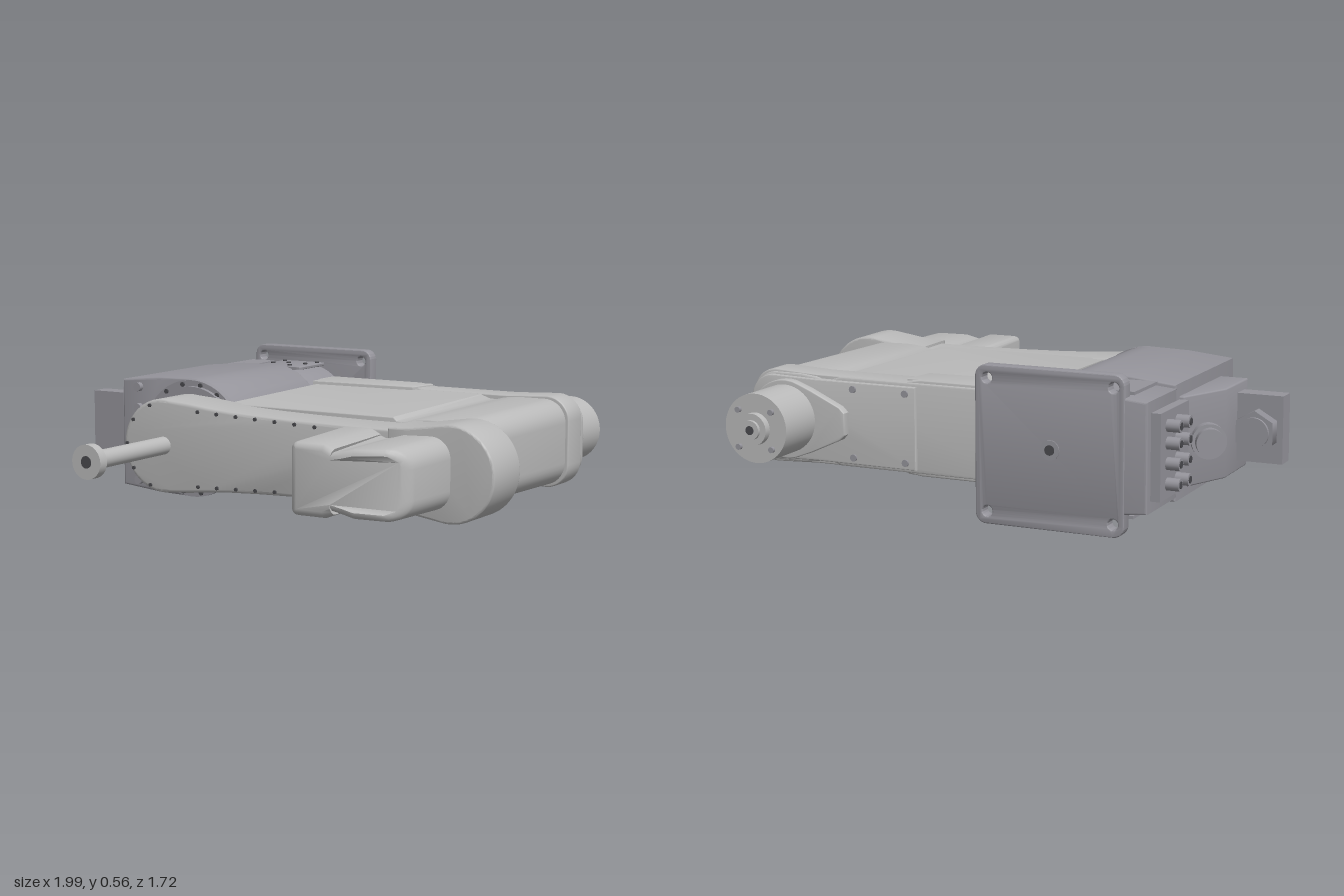
import * as THREE from 'three';
import { toCreasedNormals } from 'three/addons/utils/BufferGeometryUtils.js';

const CY = 0.28; // height of the shared centre line
const rad = Math.PI / 180;

export function createModel() {
  const model = new THREE.Group();
  const make = (name, color) => new THREE.MeshStandardMaterial({ name, color });
  const light = make('light grey', 0xbababa);
  const dark = make('base grey', 0x95949b);
  const black = make('hole grey', 0x4a4a4e);

  const add = (name, geo, mat) => {
    const mesh = new THREE.Mesh(geo, mat);
    mesh.name = name;
    model.add(mesh);
    return mesh;
  };
  // prism along z with rounded rims that keep the outline size
  const prism = (shape, z0, z1, b = 0.008) => {
    const g = new THREE.ExtrudeGeometry(shape, {
      depth: z1 - z0 - 2 * b, bevelEnabled: b > 0, bevelThickness: b, bevelSize: b,
      bevelOffset: -b, bevelSegments: 3, curveSegments: 32,
    });
    g.translate(0, 0, z0 + b);
    return toCreasedNormals(g, 0.6);
  };
  const box = (name, x0, x1, y0, y1, z0, z1, mat) => {
    const g = new THREE.BoxGeometry(x1 - x0, y1 - y0, z1 - z0);
    g.translate((x0 + x1) / 2, (y0 + y1) / 2, (z0 + z1) / 2);
    return add(name, g, mat);
  };
  const zCyl = (name, x, y, r, z0, z1, mat, n = 40) => {
    const g = new THREE.CylinderGeometry(r, r, z1 - z0, n).rotateX(Math.PI / 2);
    return add(name, g.translate(x, y, (z0 + z1) / 2), mat);
  };
  // [x, half height] points around a circle on the centre line
  const arc = (cx, r, a0, a1, n = 14) => Array.from({ length: n + 1 }, (_, i) => {
    const a = (a0 + (a1 - a0) * i / n) * rad;
    return [cx + r * Math.cos(a), r * Math.sin(a)];
  });
  // rounded upper right corner
  const corner = (x, h, r) => arc(x - r, r, 90, 0, 8).map(([px, py]) => [px, py + h - r]);
  // closed outline mirrored about the centre line
  const mirrored = (pts) => {
    const low = pts.filter((p) => p[1] > 1e-4).map(([x, h]) => [x, -h]);
    return new THREE.Shape([...low, ...pts.slice().reverse()].map(([x, h]) => new THREE.Vector2(x, CY + h)));
  };
  const roundRect = (x0, x1, y0, y1, r) => {
    const s = new THREE.Shape();
    s.absarc(x1 - r, y1 - r, r, 0, Math.PI / 2);
    s.absarc(x0 + r, y1 - r, r, Math.PI / 2, Math.PI);
    s.absarc(x0 + r, y0 + r, r, Math.PI, Math.PI * 1.5);
    s.absarc(x1 - r, y0 + r, r, Math.PI * 1.5, Math.PI * 2);
    return s;
  };

  // ---- base: mounting plate with corner holes
  const plate = roundRect(-0.65, -0.1, 0, 0.555, 0.04);
  const corners = [-0.61, -0.145].flatMap((x) => [0.045, 0.51].map((y) => [x, y]));
  for (const [x, y] of corners) {
    const hole = new THREE.Path();
    hole.absarc(x, y, 0.019, 0, Math.PI * 2, true);
    plate.holes.push(hole);
  }
  add('mountingPlate', prism(plate, -0.7, -0.652, 0.004), dark);
  zCyl('plateBoss', -0.38, CY, 0.035, -0.704, -0.69, dark);
  zCyl('plateBossHole', -0.38, CY, 0.018, -0.706, -0.703, black);

  // ---- base: D-shaped housing, slimmer at the rear
  const dShape = (k) => mirrored([[-0.73, 0.205 * k], [-0.56, 0.222 * k],
    ...arc(-0.415, 0.226, 90, 0, 18).map(([x, h]) => [x, h * k])]);
  add('baseHousing', prism(dShape(1), -0.43, 0.165), dark);
  add('baseRear', prism(dShape(0.93), -0.698, -0.42), dark);
  zCyl('bearingRing', -0.385, CY, 0.2, 0.16, 0.2, dark, 64);
  zCyl('bearingFlange', -0.395, CY, 0.222, 0.155, 0.182, dark, 64);
  for (let i = 0; i < 16; i++) {
    const a = (i + 0.5) * 22.5 * rad;
    zCyl('ringScrew', -0.395 + 0.208 * Math.cos(a), CY + 0.208 * Math.sin(a), 0.009, 0.18, 0.188, black, 8);
  }
  for (const y of [0.1, 0.18, 0.28, 0.38, 0.46]) zCyl('baseScrew', -0.65, y, 0.017, 0.16, 0.185, dark, 12);

  // access covers on both broad sides of the base
  for (const s of [1, -1]) {
    const y = CY + s * 0.212;
    const cover = prism(roundRect(-0.5, -0.3, 0.44, 0.635, 0.02), 0, 0.012, 0.003);
    cover.rotateX(-Math.PI / 2).translate(0, y - 0.006, 0);
    add('accessCover', cover, dark);
    for (const [x, z] of [[-0.475, -0.6], [-0.475, -0.51], [-0.42, -0.54], [-0.37, -0.47], [-0.34, -0.54], [-0.325, -0.605]]) {
      const g = new THREE.CylinderGeometry(0.009, 0.009, 0.022, 10);
      add('coverScrew', g.translate(x, y, z), black);
    }
    box('sidePanel', -0.66, -0.55, y - 0.012, y - 0.001, -0.64, -0.42, dark);
  }

  // ---- connector side
  const bracket = new THREE.Shape([[-0.72, -0.03], [-0.72, 0.4], [-0.745, 0.4], [-0.83, 0.2], [-0.83, -0.03]]
    .map((p) => new THREE.Vector2(...p)));
  add('connectorBracket', prism(bracket, 0.12, 0.44, 0.006).rotateX(-Math.PI / 2), dark);
  box('cableBox', -1, -0.82, 0.16, 0.405, -0.08, -0.005, dark);
  zCyl('glandCollar', -0.915, CY, 0.062, -0.1, -0.075, dark);
  zCyl('glandNut', -0.915, CY, 0.078, -0.145, -0.095, dark, 6);
  zCyl('glandCap', -0.915, CY, 0.055, -0.157, -0.14, dark);
  box('connectorPanel', -0.765, -0.72, 0.13, 0.43, -0.665, -0.4, dark);
  for (const y of [0.18, 0.25, 0.32, 0.38]) for (const z of [-0.6, -0.51]) {
    const g = new THREE.CylinderGeometry(0.022, 0.022, 0.05, 16).rotateZ(Math.PI / 2);
    add('socket', g.translate(-0.788, y, z), dark);
    const h = new THREE.CylinderGeometry(0.013, 0.013, 0.004, 16).rotateZ(Math.PI / 2);
    add('socketHole', h.translate(-0.8135, y, z), black);
  }
  const plug = new THREE.Group();
  plug.name = 'angledPlug';
  for (const [r, len, at] of [[0.05, 0.1, 0], [0.062, 0.035, 0.06], [0.05, 0.03, 0.09]]) {
    const m = new THREE.Mesh(new THREE.CylinderGeometry(r, r, len, 32), dark);
    m.name = 'plugRing';
    m.position.y = at;
    plug.add(m);
  }
  plug.position.set(-0.785, CY, -0.285);
  plug.quaternion.setFromUnitVectors(new THREE.Vector3(0, 1, 0), new THREE.Vector3(-0.5, 0, -0.86).normalize());
  model.add(plug);

  // ---- front link with round shoulder
  const link = mirrored([...arc(-0.38, 0.174, 180, 80, 24), [-0.27, 0.166], [-0.18, 0.156],
    [-0.08, 0.148], [0.05, 0.142], [0.2, 0.138], [0.4, 0.135], [0.66, 0.135]]);
  add('frontLink', prism(link, 0.195, 0.395, 0.012), light);
  for (let i = 0; i < 7; i++) for (const s of [1, -1]) {
    zCyl('linkScrew', -0.22 + i * 0.083, CY + s * (0.138 - i * 0.003), 0.007, 0.39, 0.401, black, 8);
  }
  for (let i = 0; i < 5; i++) {
    const a = (110 + i * 35) * rad;
    zCyl('linkScrew', -0.38 + 0.158 * Math.cos(a), CY + 0.158 * Math.sin(a), 0.007, 0.39, 0.401, black, 8);
  }

  // ---- elbow drum
  const elbow = mirrored([[0.58, 0.145], [0.66, 0.148], [0.74, 0.16], ...arc(0.82, 0.17, 100, 0, 24)]);
  add('elbowDrum', prism(elbow, 0.215, 0.415, 0.008), light);
  for (const s of [1, -1]) zCyl('elbowBolt', 0.925, CY + s * 0.06, 0.016, 0.195, 0.22, light, 12);

  // ---- broad arm housing with a shallow groove along it
  const slab = prism(mirrored([[-0.2, 0.158], [0.5, 0.158], [0.54, 0.145], [0.57, 0.143], [0.6, 0.152],
    [0.66, 0.158], ...corner(0.855, 0.158, 0.085)]), -0.575, 0.23, 0.006);
  const nose = prism(mirrored([...corner(0.395, 0.134, 0.025).map(([x, h]) => [0.765 - x, h]).reverse(),
    [0.5, 0.134], [0.535, 0.118], [0.57, 0.106], [0.61, 0.115], [0.65, 0.126],
    ...corner(0.83, 0.13, 0.075)]), 0.2, 0.755, 0.025);
  const bend = (g, rule) => {
    const p = g.attributes.position;
    for (let i = 0; i < p.count; i++) p.setXYZ(i, ...rule(p.getX(i), p.getY(i), p.getZ(i)));
    return toCreasedNormals(g, 0.6);
  };
  add('armHousing', bend(slab, (x, y, z) => {
    const t = (z + 0.575) / 0.805;
    return [x > 0.5 ? x - 0.025 * t : x, CY + (y - CY) * (1.03 - 0.06 * t), z];
  }), light);
  // the nose narrows forward and its left front corner sweeps back
  add('armNose', bend(nose, (x, y, z) => {
    const t = Math.max(0, (z - 0.38) / 0.375);
    const u = Math.max(0, (x - 0.56) / 0.27);
    return [x + (x < 0.55 ? 0.03 : -0.012) * t, CY + (y - CY) * (1 - 0.07 * t), z - 0.085 * t * u * u * u];
  }), light);

  // ---- rear of the arm: raised collar, cover and motor flange
  add('rearCollar', prism(mirrored([[-0.22, 0.174], [0.18, 0.174], [0.25, 0.164], [0.6, 0.164],
    ...corner(0.864, 0.172, 0.09)]), -0.565, -0.45, 0.005), light);
  const strip = new THREE.Shape([[-0.215, 0.55], [-0.215, 0.395], [0.22, 0.42], [0.24, 0.55]]
    .map((p) => new THREE.Vector2(...p)));
  add('raisedStrip', prism(strip, CY - 0.174, CY + 0.174, 0.004).rotateX(-Math.PI / 2), light);
  add('rearCover', prism(mirrored([[0.19, 0.15], [0.6, 0.15], ...corner(0.862, 0.155, 0.09)]), -0.588, -0.555, 0.004), light);
  add('motorFlange', prism(mirrored([[0.46, 0.04], [0.48, 0.06], [0.6, 0.115], ...arc(0.705, 0.145, 115, 0, 20)]),
    -0.62, -0.58, 0.004), light);
  for (const x of [0.23, 0.44]) for (const s of [1, -1]) {
    zCyl('coverBolt', x, CY + s * 0.125, 0.013, -0.595, -0.58, dark, 12);
  }

  // ---- motor
  zCyl('motorBody', 0.705, CY + 0.003, 0.125, -0.817, -0.61, light, 56);
  zCyl('motorCap', 0.705, CY + 0.003, 0.058, -0.845, -0.81, light);
  zCyl('motorShaft', 0.705, CY + 0.003, 0.035, -0.857, -0.84, light);
  zCyl('shaftHole', 0.705, CY + 0.003, 0.016, -0.859, -0.856, black, 20);
  for (let i = 0; i < 4; i++) {
    const a = (45 + i * 90) * rad;
    zCyl('motorScrew', 0.705 + 0.095 * Math.cos(a), CY + 0.095 * Math.sin(a), 0.011, -0.83, -0.81, dark, 10);
  }

  // ---- tool spindle
  zCyl('spindle', -0.375, CY + 0.003, 0.033, 0.38, 0.83, light);
  zCyl('spindleHead', -0.375, CY + 0.003, 0.062, 0.817, 0.855, light);
  zCyl('spindleHole', -0.375, CY + 0.003, 0.022, 0.853, 0.857, black, 24);

  return model;
}
